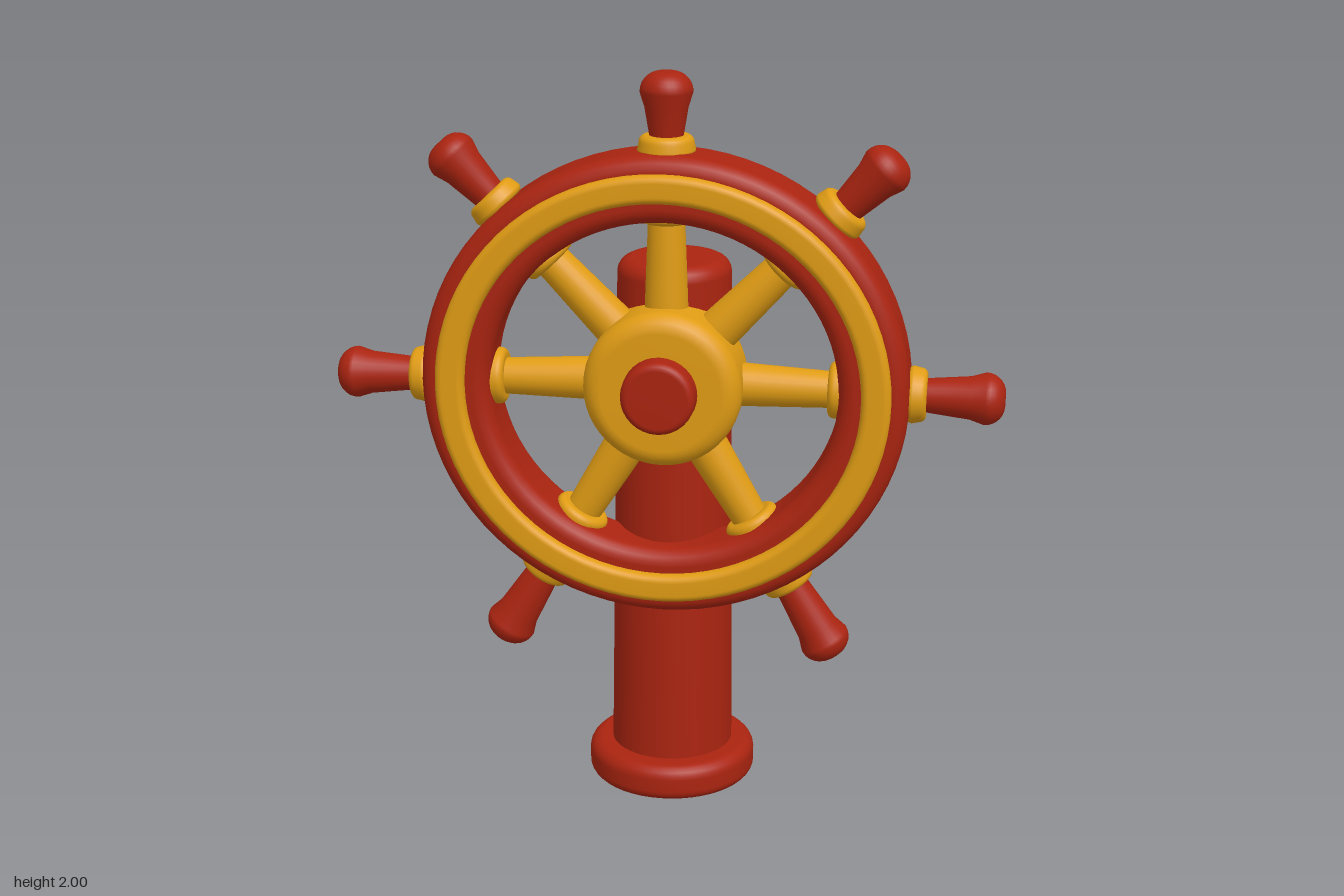
import * as THREE from 'three';

const red = new THREE.MeshStandardMaterial({ color: 0xaa2410 });
red.name = 'red paint';
const gold = new THREE.MeshStandardMaterial({ color: 0xe09c14 });
gold.name = 'gold paint';

const V = (x, y) => new THREE.Vector2(x, y);

// Quarter-round corner points, starting at angle a
function corner(cx, cy, r, a, n = 5) {
  return Array.from({ length: n + 1 }, (_, i) => {
    const t = a + (i / n) * Math.PI / 2;
    return V(cx + r * Math.cos(t), cy + r * Math.sin(t));
  });
}

// Solid of revolution with rounded bottom and top edges
function roundedDrum(r0, r1, y0, y1, b0, b1, seg = 40) {
  return new THREE.LatheGeometry([
    V(0, y0),
    ...corner(r0 - b0, y0 + b0, b0, -Math.PI / 2),
    ...corner(r1 - b1, y1 - b1, b1, 0),
    V(0, y1),
  ], seg);
}

// Ring with a rounded rectangular section, its axis along z
function roundedRing(rIn, rOut, z0, z1, b) {
  const p = [
    ...corner(rOut - b, z0 + b, b, -Math.PI / 2),
    ...corner(rOut - b, z1 - b, b, 0),
    ...corner(rIn + b, z1 - b, b, Math.PI / 2),
    ...corner(rIn + b, z0 + b, b, Math.PI),
  ];
  p.push(p[0].clone());
  return new THREE.LatheGeometry(p, 80).rotateX(Math.PI / 2);
}

function add(parent, name, geometry, material) {
  const mesh = new THREE.Mesh(geometry, material);
  mesh.name = name;
  parent.add(mesh);
  return mesh;
}

export function createModel() {
  const model = new THREE.Group();
  model.name = 'shipWheel';

  // Pedestal: round foot and a tapering post that leans back
  add(model, 'foot', roundedDrum(0.23, 0.23, 0, 0.1, 0.03, 0.035, 48), red).position.z = -0.03;
  const post = roundedDrum(0.167, 0.153, 0.06, 1.48, 0.01, 0.04, 48);
  const pos = post.attributes.position;
  for (let i = 0; i < pos.count; i++) {
    pos.setZ(i, pos.getZ(i) - 0.032 - 0.03 * pos.getY(i));
  }
  add(model, 'post', post, red);

  const wheel = new THREE.Group();
  wheel.name = 'wheel';
  wheel.position.set(0, 1.18, 0.08);
  model.add(wheel);

  // Rim, slightly flattened in height, with a gold band on each face
  const rings = new THREE.Group();
  rings.name = 'rim';
  rings.scale.y = 0.968;
  rings.position.y = -0.004;
  wheel.add(rings);
  add(rings, 'rimBody', roundedRing(0.46, 0.645, -0.095, 0.1, 0.045), red);
  add(rings, 'frontBand', roundedRing(0.522, 0.6, 0.05, 0.128, 0.02), gold);
  add(rings, 'backBand', roundedRing(0.522, 0.6, -0.122, -0.05, 0.02), gold);

  // Hub and its front cap
  add(wheel, 'hub', roundedDrum(0.21, 0.21, -0.11, 0.12, 0.05, 0.05, 48).rotateX(Math.PI / 2), gold);
  add(wheel, 'hubCap', roundedDrum(0.1, 0.098, 0.08, 0.178, 0.01, 0.02, 32).rotateX(Math.PI / 2), red);

  // Spokes: [degrees, collar radius, tip radius], uneven around the wheel
  const half = [[46, 0.655, 0.86], [-1, 0.665, 0.89], [-59, 0.64, 0.89]];
  const spokes = [[90, 0.635, 0.82], ...half, ...half.map(([a, c, t]) => [180 - a, c, t])];
  for (const [angle, collar, tip] of spokes) {
    const arm = new THREE.Group();
    arm.name = 'spokeArm';
    arm.rotation.z = THREE.MathUtils.degToRad(angle - 90);
    arm.position.z = -0.008;
    wheel.add(arm);

    add(arm, 'spoke', new THREE.CylinderGeometry(0.046, 0.06, 0.36, 24).translate(0, 0.32, 0), gold);
    add(arm, 'innerCollar', roundedDrum(0.076, 0.076, 0.43, 0.48, 0.018, 0.018, 28), gold);
    add(arm, 'outerCollar', roundedDrum(0.076, 0.072, collar - 0.03, collar + 0.022, 0.016, 0.018, 28), gold);
    add(arm, 'handle', new THREE.LatheGeometry([
      V(0.042, collar),
      V(0.046, collar + 0.03),
      V(0.057, tip - 0.09),
      ...corner(0.017, tip - 0.052, 0.052, 0, 7),
      V(0, tip),
    ], 28), red);
  }

  return model;
}
